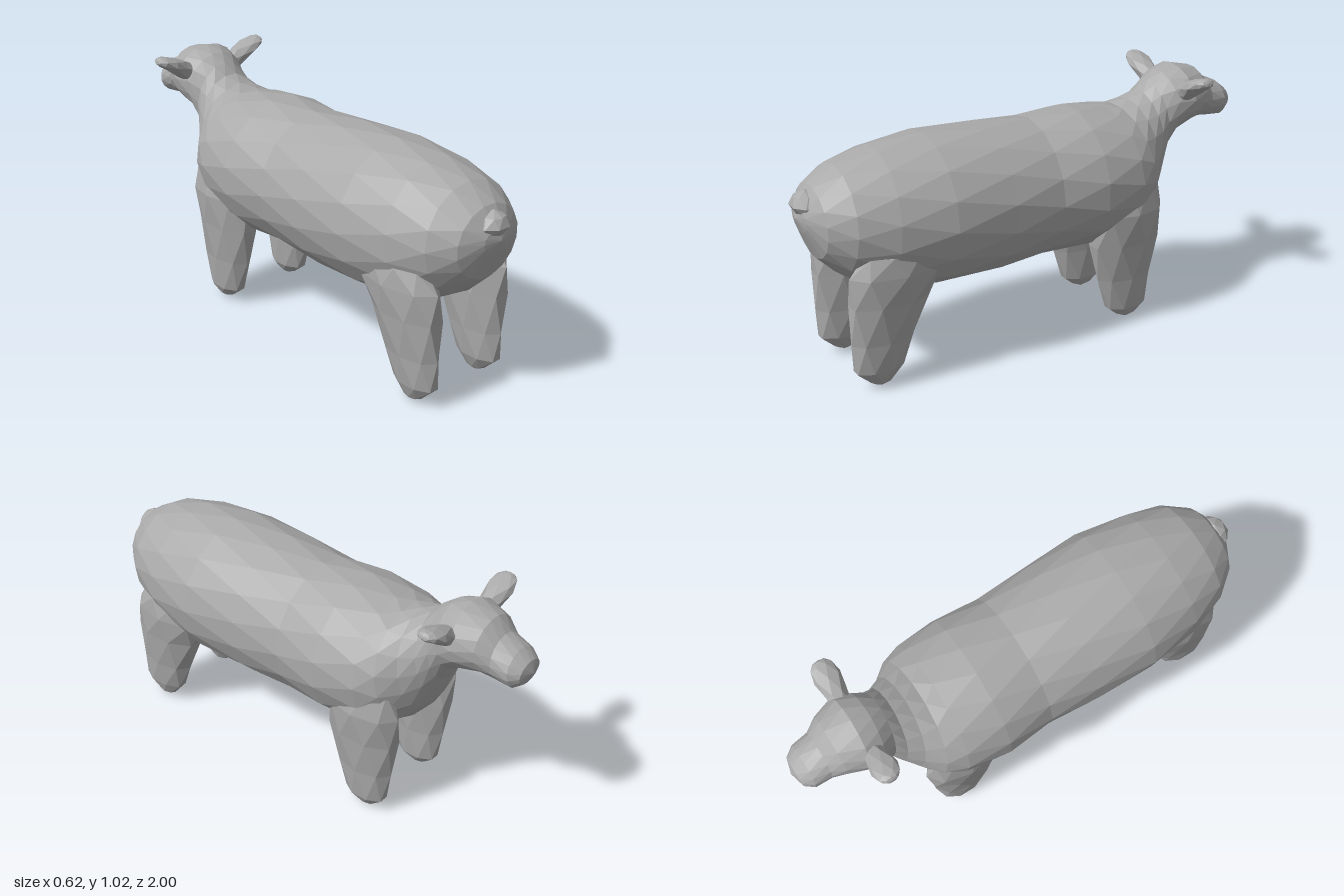
import * as THREE from 'three';

const V = (x, y, z) => new THREE.Vector3(x, y, z);

// Skin rings {c, u, v} (centre and two half axes) into a closed faceted form ending in two apex points.
function loft(rings, start, end, sides) {
  const pos = [], idx = [];
  rings.forEach(({ c, u, v }, r) => {
    for (let i = 0; i < sides; i++) {
      const a = ((i + (r % 2) / 2) / sides) * Math.PI * 2; // every other ring turns half a step
      const p = c.clone().addScaledVector(u, Math.sin(a)).addScaledVector(v, Math.cos(a));
      pos.push(p.x, p.y, p.z);
    }
  });
  const n = rings.length, first = n * sides, last = first + 1;
  pos.push(...start.toArray(), ...end.toArray());
  // Ring order runs v -> u, so it is outward when v x u follows the path
  const along = end.clone().sub(start);
  const flip = rings[0].v.clone().cross(rings[0].u).dot(along) < 0;
  const tri = (a, b, c) => (flip ? idx.push(a, c, b) : idx.push(a, b, c));
  for (let i = 0; i < sides; i++) {
    const j = (i + 1) % sides;
    tri(first, j, i);
    for (let r = 0; r < n - 1; r++) {
      const a = r * sides, b = a + sides;
      if (r % 2) {
        tri(a + i, b + j, b + i);
        tri(a + i, a + j, b + j);
      } else {
        tri(a + i, a + j, b + i);
        tri(a + j, b + j, b + i);
      }
    }
    tri(last, (n - 1) * sides + i, (n - 1) * sides + j);
  }
  const g = new THREE.BufferGeometry();
  g.setAttribute('position', new THREE.Float32BufferAttribute(pos, 3));
  g.setIndex(idx);
  const flat = g.toNonIndexed();
  flat.computeVertexNormals();
  return flat;
}

export function createModel() {
  const group = new THREE.Group();
  const wool = new THREE.MeshStandardMaterial({ color: 0xaaaaaa });
  wool.name = 'grey';
  const add = (name, geometry) => {
    const mesh = new THREE.Mesh(geometry, wool);
    mesh.name = name;
    group.add(mesh);
  };

  // Body, neck and head: top z, top y, bottom z, bottom y, half width
  const profile = [
    [0.97, 0.74, 0.965, 0.63, 0.07],
    [0.92, 0.81, 0.92, 0.52, 0.16],
    [0.82, 0.87, 0.84, 0.44, 0.23],
    [0.66, 0.91, 0.7, 0.36, 0.28],
    [0.45, 0.93, 0.47, 0.325, 0.312],
    [0.2, 0.922, 0.2, 0.32, 0.303],
    [-0.02, 0.905, -0.02, 0.335, 0.288],
    [-0.22, 0.918, -0.22, 0.33, 0.305],
    [-0.38, 0.9, -0.42, 0.37, 0.285],
    [-0.44, 0.89, -0.52, 0.43, 0.25],
    [-0.5, 0.905, -0.58, 0.5, 0.19],
    [-0.56, 0.93, -0.62, 0.58, 0.15],
    [-0.6, 0.97, -0.65, 0.66, 0.13],
    [-0.65, 1.005, -0.69, 0.735, 0.142],
    [-0.72, 1.025, -0.76, 0.77, 0.155],
    [-0.82, 1.0, -0.82, 0.78, 0.125],
    [-0.87, 0.95, -0.88, 0.772, 0.098],
    [-0.94, 0.92, -0.95, 0.765, 0.092],
    [-0.985, 0.885, -0.98, 0.79, 0.065],
  ];
  const bodyRings = profile.map(([tz, ty, bz, by, w]) => ({
    c: V(0, (ty + by) / 2, (tz + bz) / 2),
    u: V(w, 0, 0),
    v: V(0, (ty - by) / 2, (tz - bz) / 2),
  }));
  add('body', loft(bodyRings, V(0, 0.69, 0.985), V(0, 0.84, -1), 16));

  // Legs: y, inner x, outer x, back z, front z
  const hind = [
    [0.02, 0.145, 0.2, 0.785, 0.7],
    [0.08, 0.118, 0.225, 0.855, 0.645],
    [0.2, 0.105, 0.24, 0.86, 0.595],
    [0.36, 0.09, 0.262, 0.865, 0.53],
    [0.48, 0.09, 0.275, 0.86, 0.46],
    [0.56, 0.13, 0.265, 0.8, 0.5],
  ];
  const fore = [
    [0.02, 0.145, 0.2, -0.355, -0.445],
    [0.06, 0.118, 0.225, -0.3, -0.49],
    [0.2, 0.105, 0.24, -0.255, -0.515],
    [0.36, 0.09, 0.26, -0.215, -0.54],
    [0.5, 0.1, 0.275, -0.22, -0.55],
    [0.62, 0.13, 0.25, -0.28, -0.52],
  ];
  const leg = (rows, side) => {
    const rings = rows.map(([y, x0, x1, z0, z1]) => ({
      c: V((side * (x0 + x1)) / 2, y, (z0 + z1) / 2),
      u: V((x1 - x0) / 2, 0, 0),
      v: V(0, 0, (z0 - z1) / 2),
    }));
    const top = rings[rings.length - 1].c.clone().add(V(0, 0.04, 0));
    return loft(rings, rings[0].c.clone().setY(0), top, 8);
  };

  // Ears: x, y, half width along z, half thickness
  const ear = (side) => {
    const rings = [
      [0.1, 0.92, 0.035, 0.04],
      [0.15, 0.95, 0.045, 0.038],
      [0.205, 0.98, 0.056, 0.03],
      [0.25, 1.0, 0.045, 0.022],
      [0.268, 1.007, 0.025, 0.014],
    ].map(([x, y, w, t]) => ({
      c: V(side * x, y, -0.705),
      u: V(0, 0, w),
      v: V(-side * t * 0.45, t * 0.9, 0),
    }));
    return loft(rings, V(side * 0.08, 0.91, -0.705), V(side * 0.272, 1.008, -0.705), 7);
  };

  for (const [label, side] of [['left', 1], ['right', -1]]) {
    add(label + 'HindLeg', leg(hind, side));
    add(label + 'ForeLeg', leg(fore, side));
    add(label + 'Ear', ear(side));
  }

  // Stubby tail
  const tailRings = [
    [0.7, 0.92, 0.06, 0.055],
    [0.74, 0.94, 0.073, 0.06],
    [0.775, 0.943, 0.045, 0.04],
  ].map(([y, z, w, d]) => ({ c: V(0, y, z), u: V(w, 0, 0), v: V(0, 0, d) }));
  add('tail', loft(tailRings, V(0, 0.65, 0.92), V(0, 0.797, 0.94), 8));

  return group;
}
